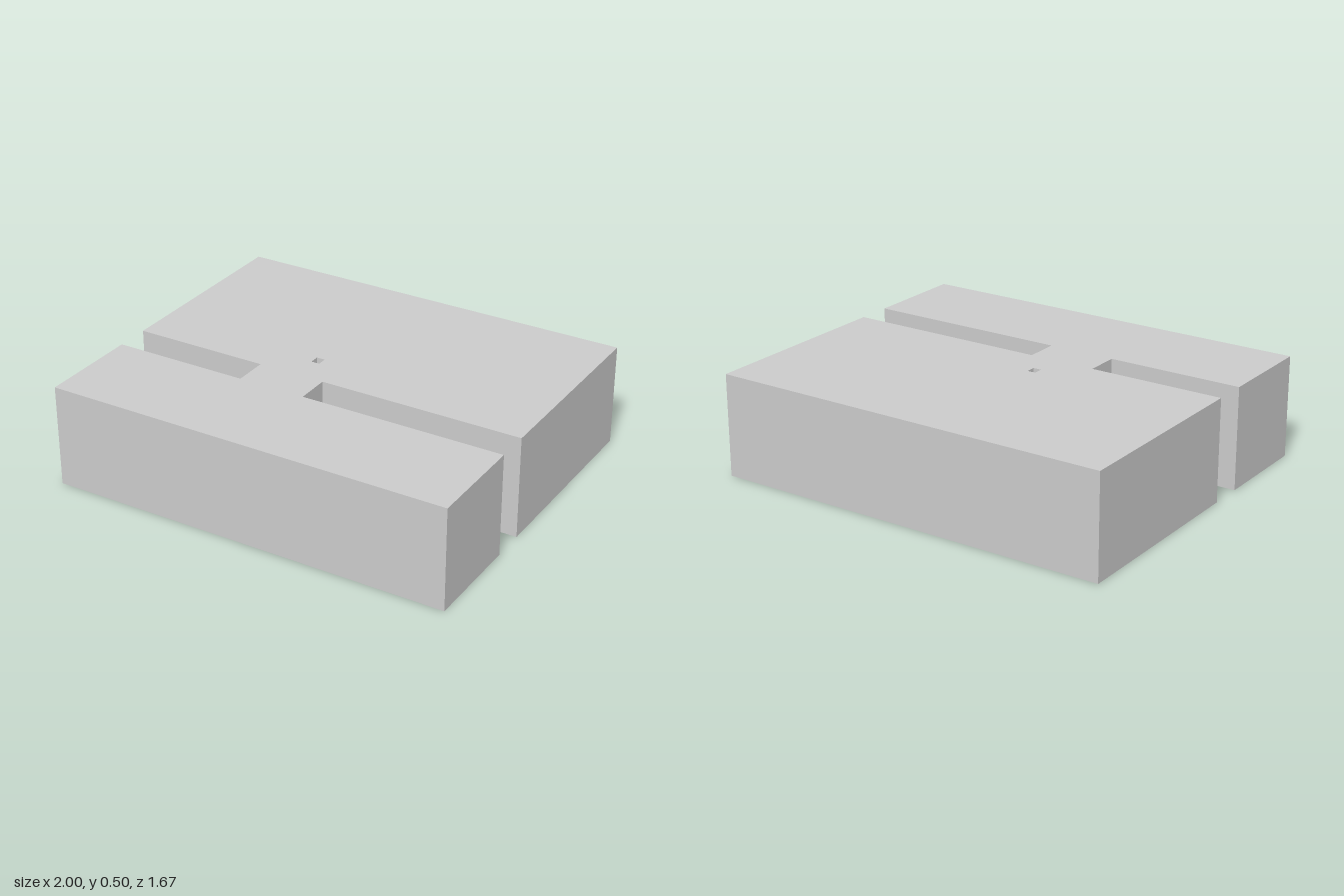
import * as THREE from 'three';

const material = new THREE.MeshStandardMaterial({ color: 0xcccccc, flatShading: true });
const HEIGHT = 0.5, U = 1 / 6;

// Plan outlines are [x, z] points, counter-clockwise seen from above.
const rect = (x0, x1, z0, z1) => [[x0, z1], [x1, z1], [x1, z0], [x0, z0]];

// Flat horizontal face with optional holes, facing up or down.
function cap(outline, holes, y, up) {
  const s = up ? -1 : 1;
  const toVectors = (pts) => pts.map(([x, z]) => new THREE.Vector2(x, s * z));
  const shape = new THREE.Shape(toVectors(outline));
  for (const h of holes) shape.holes.push(new THREE.Path(toVectors(h)));
  return new THREE.ShapeGeometry(shape).rotateX(s * Math.PI / 2).translate(0, y, 0);
}

// Vertical walls along a closed outline, facing outward (reverse it to face inward).
function walls(outline, y0, y1) {
  const pos = [];
  outline.forEach(([ax, az], i) => {
    const [bx, bz] = outline[(i + 1) % outline.length];
    pos.push(ax, y0, az, bx, y0, bz, bx, y1, bz, ax, y0, az, bx, y1, bz, ax, y1, az);
  });
  const g = new THREE.BufferGeometry();
  g.setAttribute('position', new THREE.Float32BufferAttribute(pos, 3));
  g.computeVertexNormals();
  return g;
}

export function createModel() {
  const model = new THREE.Group();
  model.name = 'slottedBlock';
  const add = (name, geometry) => {
    const mesh = new THREE.Mesh(geometry, material);
    mesh.name = name;
    model.add(mesh);
  };

  // Block with a slot cut in from each side, leaving a narrow neck
  const back = -5 * U, front = 5 * U, slotBack = U, slotFront = 2 * U;
  const neckRight = -2 * U, neckLeft = 0;
  const outline = [
    [-1, front], [1, front], [1, slotFront], [neckLeft, slotFront],
    [neckLeft, slotBack], [1, slotBack], [1, back], [-1, back],
    [-1, slotBack], [neckRight, slotBack], [neckRight, slotFront], [-1, slotFront],
  ];
  // Blind recesses: a tiny one on top, a large one underneath
  const topRecess = rect(-0.147, -0.105, -0.024, 0.024);
  const pocket = rect(2 * U, 4 * U, -4 * U, -U);
  const topFloor = HEIGHT - 0.04, pocketCeiling = 2 * U;

  add('blockSides', walls(outline, 0, HEIGHT));
  add('blockTop', cap(outline, [topRecess], HEIGHT, true));
  add('blockBottom', cap(outline, [pocket], 0, false));

  add('topRecessWalls', walls([...topRecess].reverse(), topFloor, HEIGHT));
  add('topRecessFloor', cap(topRecess, [], topFloor, true));

  add('bottomPocketWalls', walls([...pocket].reverse(), 0, pocketCeiling));
  add('bottomPocketCeiling', cap(pocket, [], pocketCeiling, false));

  return model;
}
